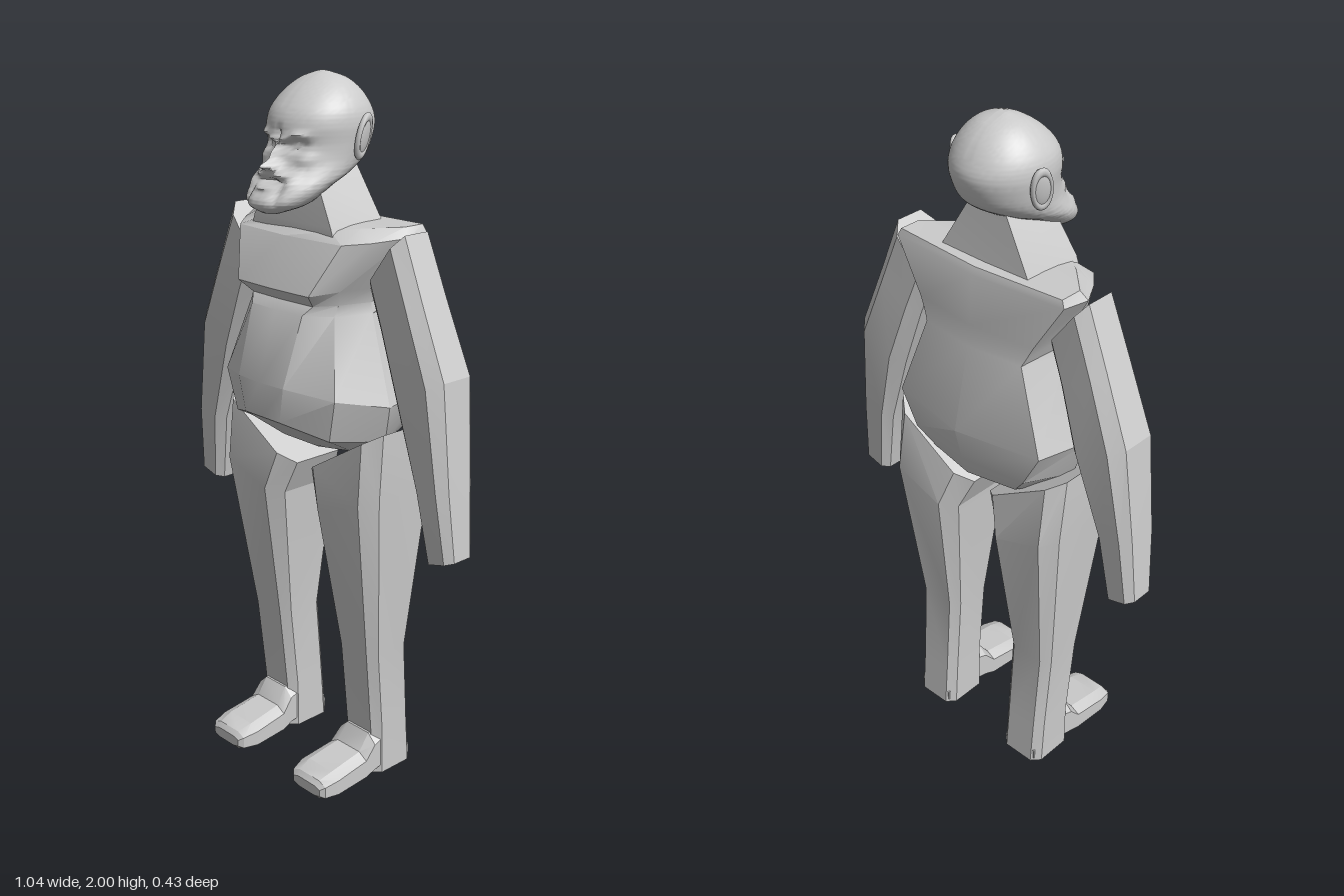
import * as THREE from 'three';
import { toCreasedNormals } from 'three/addons/utils/BufferGeometryUtils.js';

const material = new THREE.MeshStandardMaterial({ color: 0xcccccc, side: THREE.DoubleSide });

// Skins a list of closed rings of [x, y, z] points, caps both ends and turns the faces outward.
function loft(name, rings, crease) {
  const n = rings[0].length;
  const index = [];
  rings.slice(1).forEach((_, r) => {
    for (let i = 0; i < n; i++) {
      const a = r * n + i, b = r * n + (i + 1) % n;
      index.push(a, b, b + n, a, b + n, a + n);
    }
  });
  const points = rings.flat();
  [0, rings.length - 1].forEach((r, end) => {
    const c = points.length;
    points.push([0, 1, 2].map(k => rings[r].reduce((s, p) => s + p[k], 0) / n));
    for (let i = 0; i < n; i++) {
      const a = r * n + i, b = r * n + (i + 1) % n;
      index.push(c, ...(end ? [a, b] : [b, a]));
    }
  });
  let volume = 0;
  for (let i = 0; i < index.length; i += 3) {
    const [a, b, c] = [0, 1, 2].map(k => new THREE.Vector3(...points[index[i + k]]));
    volume += a.dot(b.cross(c));
  }
  if (volume < 0) index.reverse();
  const geometry = new THREE.BufferGeometry();
  geometry.setAttribute('position', new THREE.Float32BufferAttribute(points.flat(), 3));
  geometry.setIndex(index);
  const mesh = new THREE.Mesh(toCreasedNormals(geometry, crease), material);
  mesh.name = name;
  return mesh;
}

// Rectangle with cut corners, as fractions 0..1
function chamfered(c) {
  const d = 1 - c;
  return [[0, c], [c, 0], [d, 0], [1, c], [1, d], [d, 1], [c, 1], [0, d]];
}

// Limb section between an inner and an outer point, from zFront to zBack
function limbRing(side, [xi, yi, xo, yo, zf, zb], c) {
  const mix = THREE.MathUtils.lerp;
  return chamfered(c).map(([u, v]) => [side * mix(xi, xo, u), mix(yi, yo, u), mix(zf, zb, v)]);
}

function makeTorso() {
  // Half sections from front centre around the side to back centre
  const halves = [
    [[0, 1, .06], [.07, 1, .06], [.16, 1, .02], [.21, 1, -.04], [.15, 1, -.14], [0, 1, -.17]],
    [[0, 1.1, .2], [.07, 1.1, .2], [.19, 1.06, .13], [.25, 1.04, -.02], [.2, 1.06, -.165], [0, 1.06, -.19]],
    [[0, 1.2, .212], [.09, 1.2, .205], [.22, 1.18, .14], [.285, 1.15, 0], [.255, 1.16, -.165], [0, 1.16, -.214]],
    [[0, 1.39, .15], [.1, 1.39, .145], [.165, 1.39, .09], [.205, 1.39, -.01], [.17, 1.4, -.14], [0, 1.4, -.16]],
    [[0, 1.415, .13], [.12, 1.415, .125], [.17, 1.42, .08], [.2, 1.42, -.01], [.18, 1.42, -.135], [0, 1.42, -.157]],
    [[0, 1.45, .165], [.14, 1.45, .16], [.185, 1.46, .09], [.215, 1.46, -.02], [.2, 1.46, -.13], [0, 1.46, -.152]],
    [[0, 1.585, .115], [.2, 1.585, .1], [.25, 1.59, .04], [.3, 1.6, -.04], [.29, 1.605, -.12], [0, 1.6, -.14]],
    [[0, 1.61, .08], [.14, 1.61, .08], [.2, 1.62, .03], [.28, 1.625, -.05], [.28, 1.625, -.115], [0, 1.62, -.13]],
  ];
  const rings = halves.map(h => [...h, ...h.slice(1, -1).reverse().map(([x, y, z]) => [-x, y, z])]);
  return loft('torso', rings, 0.5);
}

function makeNeck() {
  const rings = [[1.59, .16, .09, -.1], [1.62, .15, .09, -.095], [1.78, .055, .07, -.08]]
    .map(([y, w, zf, zb]) => [[-w, y, zb], [w, y, zb], [w, y, zf], [-w, y, zf]]);
  return loft('neck', rings, 0.3);
}

// Face relief as soft mounds: [x, y, width, height, depth], mirrored in x
const relief = [
  [0, 1.772, .016, .013, .046], [0, 1.8, .012, .025, .026], [.02, 1.768, .011, .01, .018],
  [.048, 1.822, .024, .013, -.026], [.048, 1.822, .013, .007, .017],
  [.025, 1.838, .016, .009, .016], [.062, 1.85, .024, .009, .014], [0, 1.85, .004, .02, -.01],
  [.08, 1.79, .02, .016, .012], [.035, 1.752, .022, .01, .022], [.07, 1.735, .014, .018, .013],
  [0, 1.732, .035, .007, -.03], [0, 1.718, .025, .006, .012], [.05, 1.7, .01, .03, -.012],
];

function makeHead() {
  const head = new THREE.Group();
  head.name = 'head';
  // Height, front z, back z and half width, from beard to crown
  const profile = [
    [1.652, .185, .14, .03], [1.67, .213, .07, .075], [1.69, .213, .03, .097], [1.72, .185, -.01, .115],
    [1.75, .158, -.075, .124], [1.785, .14, -.128, .127], [1.825, .132, -.152, .131], [1.87, .134, -.163, .135],
    [1.91, .118, -.15, .128], [1.95, .08, -.122, .102], [1.98, .036, -.085, .066], [1.995, 0, -.045, .026],
    [2, -.015, -.025, .004],
  ];
  const curve = pick => new THREE.CatmullRomCurve3(
    profile.map(p => new THREE.Vector3(...pick.map(k => p[k]))), false, 'catmullrom');
  const depth = curve([0, 1, 2]), width = curve([0, 3, 3]);
  const rings = [];
  for (let j = 0; j <= 84; j++) {
    const { x: y, y: zf, z: zb } = depth.getPoint(j / 84);
    const w = width.getPoint(j / 84).y;
    const ring = [];
    for (let i = 0; i < 80; i++) {
      const t = i / 80 * Math.PI * 2;
      const x = w * Math.sin(t);
      const front = THREE.MathUtils.smoothstep(Math.cos(t), 0, .5);
      let z = (zf + zb) / 2 + (zf - zb) / 2 * Math.cos(t);
      for (const [cx, cy, sx, sy, d] of relief)
        z += front * d * Math.exp(-(((Math.abs(x) - cx) / sx) ** 2) - ((y - cy) / sy) ** 2);
      ring.push([x, y, z]);
    }
    rings.push(ring);
  }
  head.add(loft('skullAndFace', rings, 1));

  // Ears: a flattened shell with a raised rim
  for (const side of [1, -1]) {
    const ear = new THREE.Group();
    ear.name = side > 0 ? 'leftEar' : 'rightEar';
    const shell = new THREE.Mesh(new THREE.SphereGeometry(1, 16, 12), material);
    shell.name = 'earShell';
    shell.scale.set(.01, .05, .028);
    const rim = new THREE.Mesh(new THREE.TorusGeometry(.03, .008, 8, 24), material);
    rim.name = 'earRim';
    rim.rotation.y = Math.PI / 2;
    rim.scale.set(.85, 1.65, 1);
    ear.add(shell, rim);
    ear.position.set(side * .139, 1.842, -.035);
    ear.rotation.set(-.15, side * .3, side * -.12);
    head.add(ear);
  }
  return head;
}

function makeArm(side) {
  // Shoulder, upper arm, elbow, wrist, hand end
  const sections = [
    [.215, 1.46, .333, 1.618, .035, -.105], [.255, 1.36, .4, 1.455, .038, -.112],
    [.313, 1.185, .48, 1.262, .04, -.125], [.396, .955, .507, .97, .032, -.105],
    [.43, .75, .522, .775, .012, -.092],
  ];
  return loft(side > 0 ? 'leftArm' : 'rightArm', sections.map(s => limbRing(side, s, .2)), 0.3);
}

function makeLeg(side) {
  const leg = new THREE.Group();
  leg.name = side > 0 ? 'leftLeg' : 'rightLeg';
  // Hip cut, thigh, knee, ankle, heel
  const sections = [
    [.03, .92, .31, 1.09, .085, -.15], [.075, .82, .306, .9, .1, -.178],
    [.11, .405, .26, .405, .027, -.125], [.11, .15, .255, .15, 0, -.145],
    [.11, .01, .255, .01, 0, -.157],
  ];
  leg.add(loft('legShaft', sections.map(s => limbRing(side, s, .16)), 0.3));
  // Foot sections from heel to toe: z, bottom, top, inner x, outer x
  const foot = [
    [-.15, .01, .06, .125, .24], [-.02, .006, .15, .113, .252], [.005, .005, .142, .11, .255],
    [.04, .003, .093, .105, .255], [.15, 0, .075, .1, .257], [.195, .005, .062, .112, .248],
    [.207, .016, .048, .125, .235],
  ];
  leg.add(loft('foot', foot.map(([z, y0, y1, x0, x1]) => chamfered(.2)
    .map(([u, v]) => [side * (x0 + (x1 - x0) * u), y0 + (y1 - y0) * v, z])), 0.4));
  return leg;
}

export function createModel() {
  const figure = new THREE.Group();
  figure.name = 'figure';
  figure.add(makeTorso(), makeNeck(), makeHead());
  for (const side of [1, -1]) figure.add(makeArm(side), makeLeg(side));
  return figure;
}
